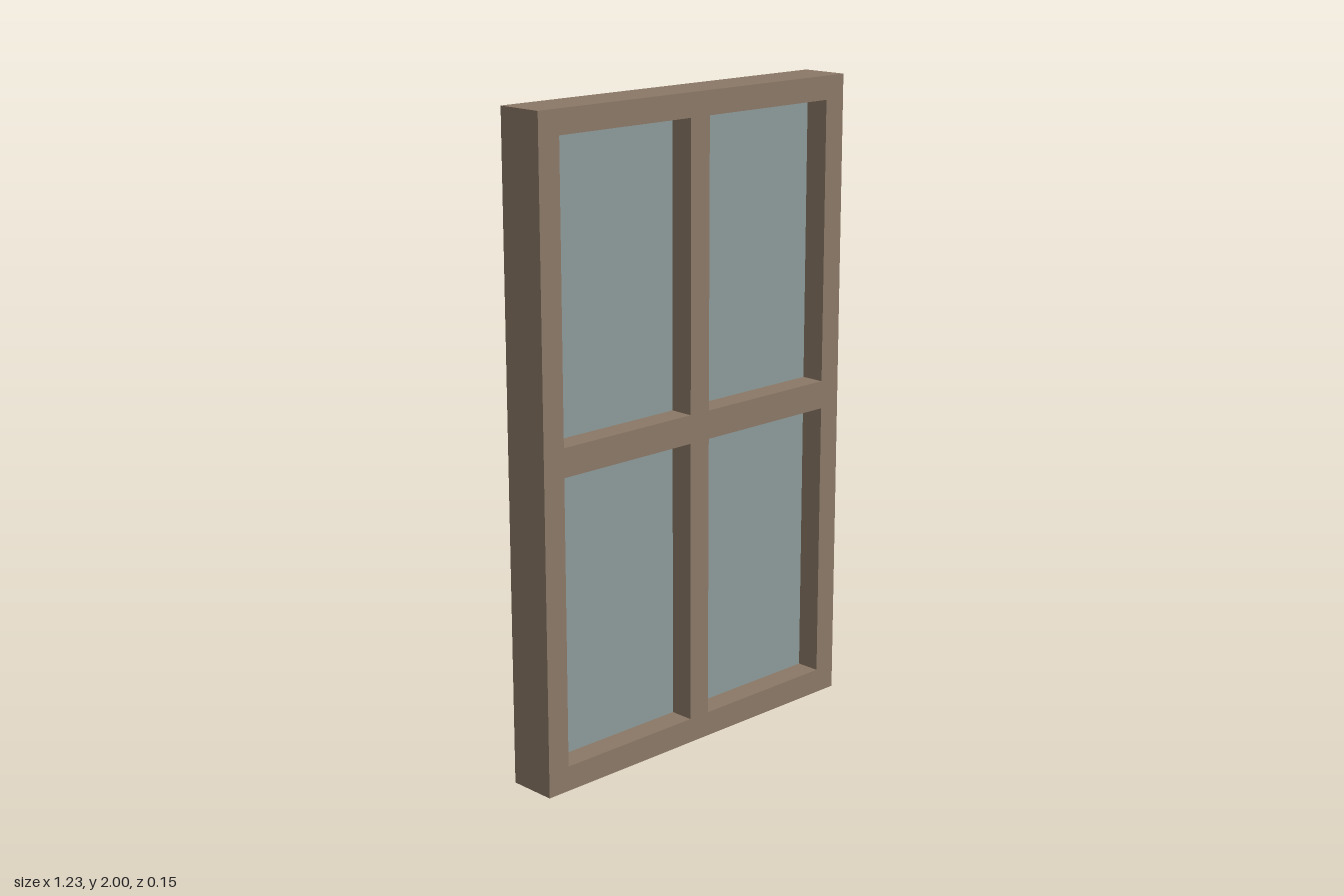
import * as THREE from 'three';

const HALF_W = 0.613, HEIGHT = 2, DEPTH = 0.154;
const COLUMNS = [[-0.538, -0.038], [0.038, 0.538]];
const ROWS = [[0.077, 0.959], [1.047, 1.927]];

// Traces a rectangle on a Shape or Path
function rect(path, x0, y0, x1, y1) {
  path.moveTo(x0, y0);
  path.lineTo(x1, y0);
  path.lineTo(x1, y1);
  path.lineTo(x0, y1);
  path.closePath();
  return path;
}

export function createModel() {
  const model = new THREE.Group();
  model.name = 'window';
  const wood = new THREE.MeshStandardMaterial({ color: 0x8a7866 });
  const glass = new THREE.MeshStandardMaterial({ color: 0x8c9a99, side: THREE.DoubleSide });

  const outline = rect(new THREE.Shape(), -HALF_W, 0, HALF_W, HEIGHT);

  // Four openings, each with a thin pane at mid depth
  ROWS.forEach(([y0, y1], r) => COLUMNS.forEach(([x0, x1], c) => {
    outline.holes.push(rect(new THREE.Path(), x0, y0, x1, y1));
    const pane = new THREE.Mesh(new THREE.PlaneGeometry(x1 - x0, y1 - y0), glass);
    pane.position.set((x0 + x1) / 2, (y0 + y1) / 2, 0);
    pane.name = `${r ? 'upper' : 'lower'}${c ? 'Left' : 'Right'}Pane`;
    model.add(pane);
  }));

  // Frame with its cross bars in one piece
  const frameGeometry = new THREE.ExtrudeGeometry(outline, { depth: DEPTH, bevelEnabled: false });
  frameGeometry.translate(0, 0, -DEPTH / 2);
  const frame = new THREE.Mesh(frameGeometry, wood);
  frame.name = 'frame';
  model.add(frame);

  return model;
}
